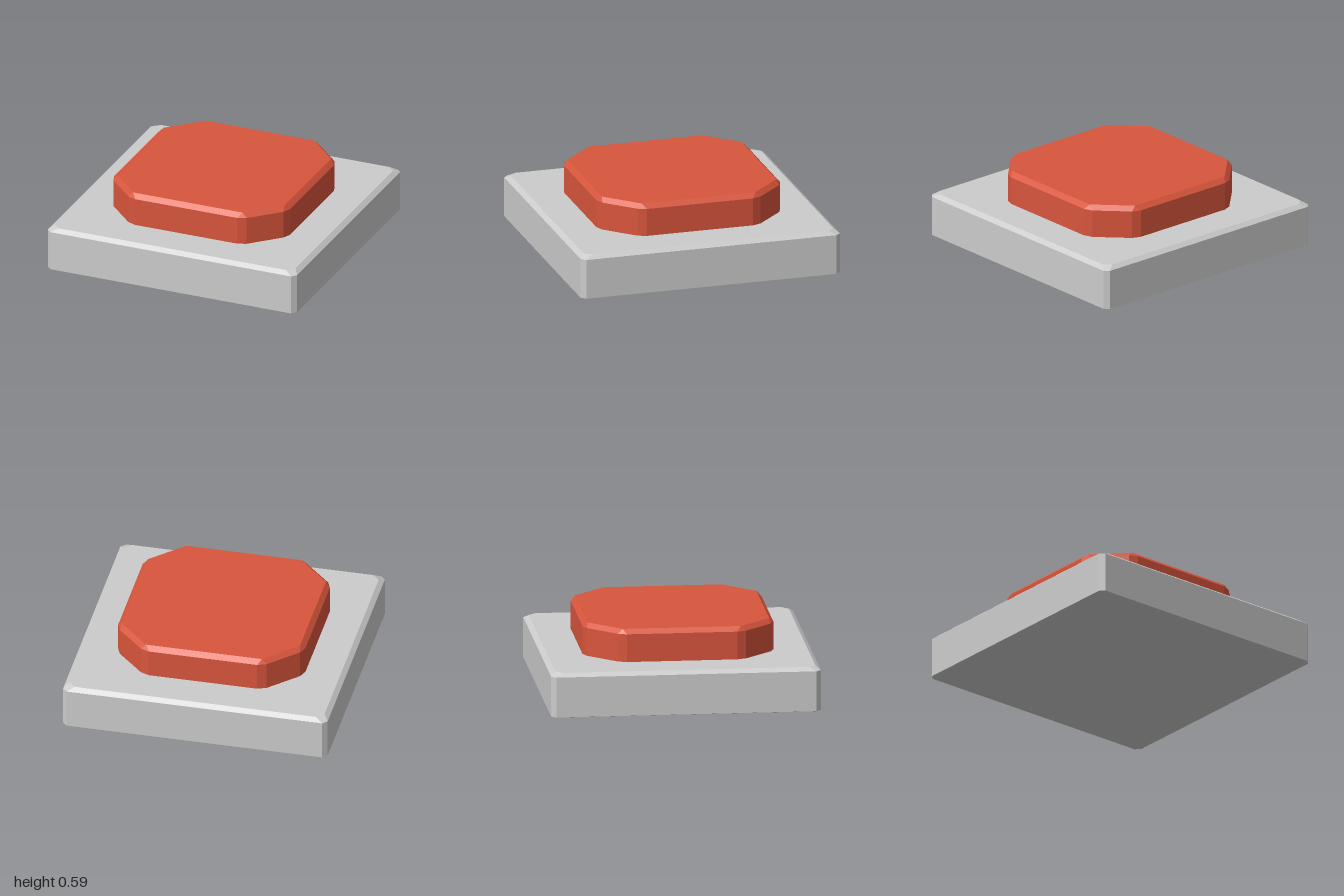
import * as THREE from 'three';

// Repeat one corner's [x, z] points around the four quarters.
function ring(y, corner) {
  const pts = [];
  let quarter = corner;
  for (let q = 0; q < 4; q++) {
    for (const [x, z] of quarter) pts.push(new THREE.Vector3(x, y, z));
    quarter = quarter.map(([x, z]) => [-z, x]);
  }
  return pts;
}

// Closed solid through a stack of rings, from bottom to top.
function loft(rings) {
  const pos = [];
  const tri = (...v) => v.forEach((p) => pos.push(p.x, p.y, p.z));
  const n = rings[0].length;
  const bottom = rings[0], top = rings[rings.length - 1];
  const cBottom = new THREE.Vector3(0, bottom[0].y, 0);
  const cTop = new THREE.Vector3(0, top[0].y, 0);
  for (let i = 0; i < n; i++) {
    const j = (i + 1) % n;
    tri(cBottom, bottom[i], bottom[j]);
    tri(cTop, top[j], top[i]);
    for (let k = 0; k < rings.length - 1; k++) {
      const lo = rings[k], hi = rings[k + 1];
      if (!lo[i].equals(lo[j])) tri(lo[i], hi[i], lo[j]);
      if (hi[i].distanceTo(hi[j]) > 1e-6) tri(lo[j], hi[i], hi[j]);
    }
  }
  const geo = new THREE.BufferGeometry();
  geo.setAttribute('position', new THREE.Float32BufferAttribute(pos, 3));
  geo.computeVertexNormals();
  return geo;
}

function part(name, color, rings) {
  const mesh = new THREE.Mesh(
    loft(rings),
    new THREE.MeshStandardMaterial({ color, flatShading: true })
  );
  mesh.name = name;
  return mesh;
}

export function createModel() {
  const group = new THREE.Group();
  group.name = 'pushButton';

  // Square base plate with chamfered edges
  const outer = [[1, 0.965], [0.965, 1]];
  group.add(part('base', 0xcccccc, [
    ring(0, [[0.97, 0.955], [0.955, 0.97]]),
    ring(0.008, outer),
    ring(0.31, outer),
    ring(0.337, [[0.965, 0.912], [0.912, 0.965]]),
  ]));

  // Octagonal cap with blunted corners, floating just above the base
  const wall = [[0.708, 0.41], [0.682, 0.475], [0.475, 0.682], [0.41, 0.708]];
  const rim = [[0.673, 0.437], [0.673, 0.437], [0.437, 0.673], [0.437, 0.673]];
  group.add(part('buttonCap', 0xd8553c, [
    ring(0.346, wall),
    ring(0.556, wall),
    ring(0.59, rim),
  ]));

  return group;
}
